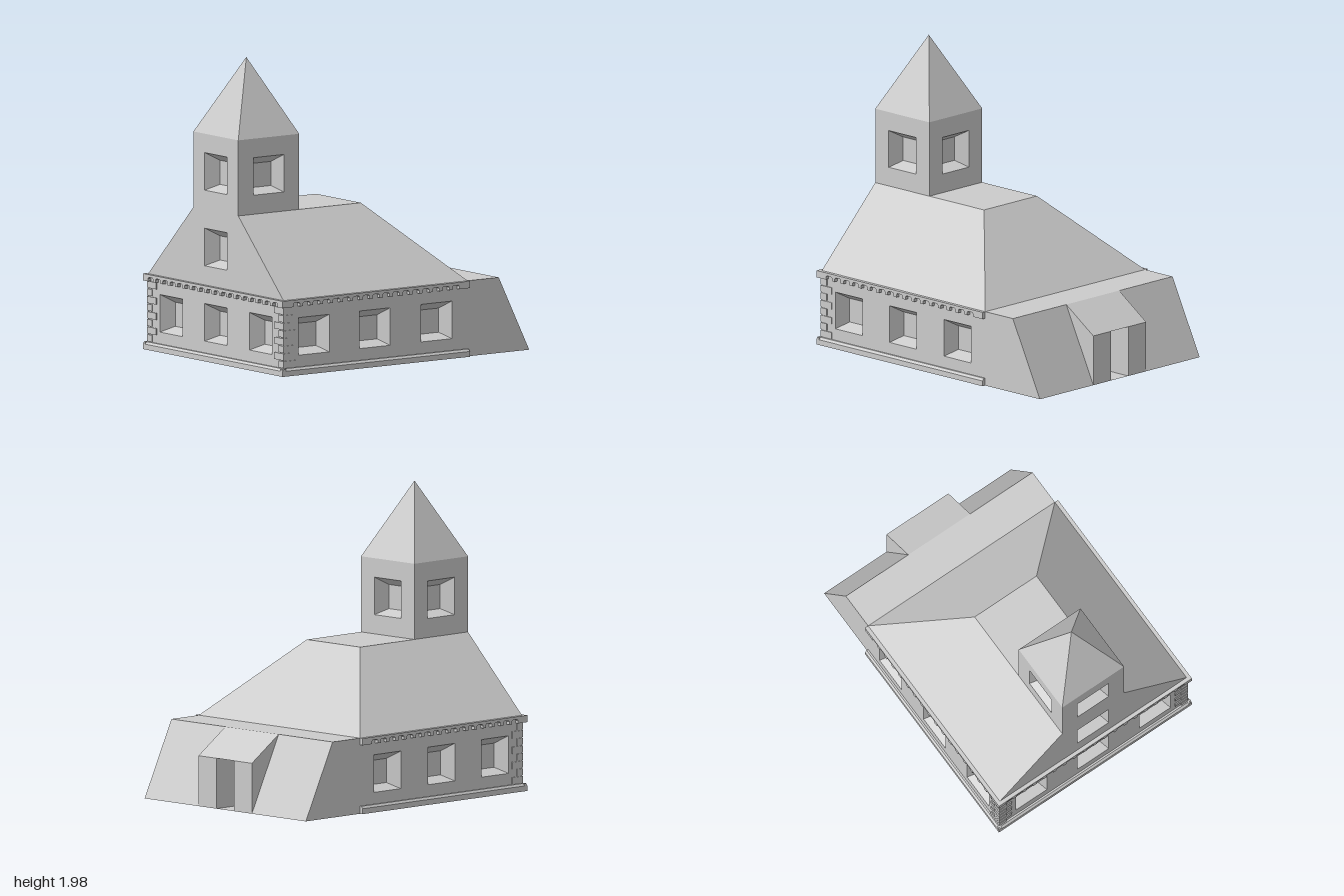
import * as THREE from 'three';
import { mergeGeometries } from 'three/addons/utils/BufferGeometryUtils.js';

const material = new THREE.MeshStandardMaterial({ color: 0xcccccc, flatShading: true, side: THREE.DoubleSide });

// Main dimensions
const HALF = 0.74, FRONT = 0.975, BACK = -1, EAVE = 0.495, RIDGE = 0.99;
const CORE = 0.245;              // half width of ridge, tower and porch
const ROOF_BACK = -0.505, SLOPE_TOP = -0.755, PORCH_EAVE = 0.33;
const TRIM = 0.025;              // how far plinth and cornice stand out

function mesh(name, geometry) {
  const m = new THREE.Mesh(geometry, material);
  m.name = name;
  return m;
}

// Flat faces, each given as counter-clockwise corners
function faces(...polygons) {
  const pos = [];
  for (const p of polygons)
    for (let i = 1; i < p.length - 1; i++) pos.push(...p[0], ...p[i], ...p[i + 1]);
  const g = new THREE.BufferGeometry();
  g.setAttribute('position', new THREE.Float32BufferAttribute(pos, 3));
  g.computeVertexNormals();
  return g;
}

// Splayed window recess, facing +z, centred on (u, v)
function recess(u, v) {
  const o = 0.123, d = -0.1;
  const a = [[-o, -o], [o, -o], [o, o], [-o, o]].map(([x, y]) => [u + x, v + y, 0]);
  const b = [[-0.09, -0.09], [0.09, -0.09], [0.09, 0.068], [-0.09, 0.068]].map(([x, y]) => [u + x, v + y, d]);
  const sides = a.map((p, i) => [p, a[(i + 1) % 4], b[(i + 1) % 4], b[i]]);
  return faces(b, ...sides);
}

// Wall facing +z with windows cut into it
function wall(name, outline, windows) {
  const shape = new THREE.Shape(outline.map(([x, y]) => new THREE.Vector2(x, y)));
  const o = 0.123;
  for (const [u, v] of windows) {
    shape.holes.push(new THREE.Path([[-o, -o], [-o, o], [o, o], [o, -o]]
      .map(([x, y]) => new THREE.Vector2(u + x, v + y))));
  }
  const flat = new THREE.ShapeGeometry(shape).toNonIndexed();
  flat.deleteAttribute('uv');
  return mesh(name, mergeGeometries([flat, ...windows.map(([u, v]) => recess(u, v))]));
}

// Stepped plinth running along x, facing +z
function plinth(length) {
  const profile = new THREE.Shape([[0, 0], [TRIM, 0], [TRIM, 0.035], [0.012, 0.05], [0, 0.05]]
    .map(([x, y]) => new THREE.Vector2(x, y)));
  const g = new THREE.ExtrudeGeometry(profile, { depth: length, bevelEnabled: false });
  return mesh('plinth', g.translate(0, 0, -length / 2).rotateY(-Math.PI / 2));
}

// Cornice with a row of small arches along its lower edge
function cornice(length) {
  const y0 = 0.45, y1 = 0.477, r = 0.008, w = 0.027, pitch = 0.08;
  const n = Math.floor((length - 0.08) / pitch);
  const s = new THREE.Shape();
  s.moveTo(-length / 2, y0);
  for (let i = 0; i < n; i++) {
    const c = (i - (n - 1) / 2) * pitch;
    s.lineTo(c - w, y0);
    s.lineTo(c - w, y1 - r);
    s.lineTo(c - w + r, y1);
    s.lineTo(c + w - r, y1);
    s.lineTo(c + w, y1 - r);
    s.lineTo(c + w, y0);
  }
  s.lineTo(length / 2, y0);
  s.lineTo(length / 2, EAVE);
  s.lineTo(-length / 2, EAVE);
  s.closePath();
  return mesh('cornice', new THREE.ExtrudeGeometry(s, { depth: TRIM, bevelEnabled: false }));
}

export function createModel() {
  const model = new THREE.Group();

  // Front gable wall
  const front = wall('frontWall',
    [[-HALF, 0], [HALF, 0], [HALF, EAVE], [CORE, RIDGE], [-CORE, RIDGE], [-HALF, EAVE]],
    [[-0.49, 0.25], [0, 0.25], [0.49, 0.25], [0, 0.743]]);
  front.position.z = FRONT;
  model.add(front);

  // Side walls, mirrored
  for (const s of [1, -1]) {
    const side = wall(s > 0 ? 'leftWall' : 'rightWall',
      [[FRONT, 0], [BACK, 0], [SLOPE_TOP, EAVE], [FRONT, EAVE]].map(([z, y]) => [-s * z, y]),
      [0.73, 0.24, -0.255].map(z => [-s * z, 0.25]));
    side.rotation.y = s * Math.PI / 2;
    side.position.x = s * HALF;
    model.add(side);
  }

  // Plinth and cornice on the front and both sides
  const sideLength = FRONT + TRIM - ROOF_BACK, sideZ = (FRONT + TRIM + ROOF_BACK) / 2;
  for (const [angle, x, z, length] of [
    [0, 0, FRONT, 2 * (HALF + TRIM)],
    [Math.PI / 2, HALF, sideZ, sideLength],
    [-Math.PI / 2, -HALF, sideZ, sideLength]]) {
    const trim = new THREE.Group();
    trim.name = 'wallTrim';
    trim.add(plinth(length), cornice(length));
    trim.rotation.y = angle;
    trim.position.set(x, 0, z);
    model.add(trim);
  }

  // Corner stones, alternately long and short
  for (const s of [1, -1]) {
    for (let i = 0; i < 8; i++) {
      const lx = i % 2 ? 0.1 : 0.055, lz = i % 2 ? 0.055 : 0.1;
      const stone = mesh('cornerStone', new THREE.BoxGeometry(lx, 0.044, lz));
      stone.position.set(s * (HALF + 0.006 - lx / 2), 0.075 + i * 0.05, FRONT + 0.006 - lz / 2);
      model.add(stone);
    }
  }

  // Hipped roof with a flat ridge, and the flat strip behind it
  const hip = -0.01;
  model.add(mesh('roof', faces(
    [[-CORE, RIDGE, FRONT], [CORE, RIDGE, FRONT], [CORE, RIDGE, hip], [-CORE, RIDGE, hip]],
    [[HALF, EAVE, FRONT], [HALF, EAVE, ROOF_BACK], [CORE, RIDGE, hip], [CORE, RIDGE, FRONT]],
    [[-HALF, EAVE, ROOF_BACK], [-HALF, EAVE, FRONT], [-CORE, RIDGE, FRONT], [-CORE, RIDGE, hip]],
    [[HALF, EAVE, ROOF_BACK], [-HALF, EAVE, ROOF_BACK], [-CORE, RIDGE, hip], [CORE, RIDGE, hip]])));
  model.add(mesh('backTerrace', faces(
    [[-HALF, EAVE, ROOF_BACK], [HALF, EAVE, ROOF_BACK], [HALF, EAVE, SLOPE_TOP], [-HALF, EAVE, SLOPE_TOP]])));

  // Sloping back wall either side of the porch
  model.add(mesh('backSlope', faces(
    ...[[CORE, HALF], [-HALF, -CORE]].map(([a, b]) =>
      [[b, 0, BACK], [a, 0, BACK], [a, EAVE, SLOPE_TOP], [b, EAVE, SLOPE_TOP]]))));

  // Porch: roof, cheeks, posts and doorway
  const door = 0.08, inner = BACK + 0.2, h = PORCH_EAVE;
  model.add(mesh('porch', faces(
    [[CORE, h, BACK], [-CORE, h, BACK], [-CORE, EAVE, SLOPE_TOP], [CORE, EAVE, SLOPE_TOP]],
    [[CORE, 0, BACK], [CORE, h, BACK], [CORE, EAVE, SLOPE_TOP]],
    [[-CORE, 0, BACK], [-CORE, EAVE, SLOPE_TOP], [-CORE, h, BACK]],
    ...[[door, CORE], [-CORE, -door]].map(([a, b]) =>
      [[b, 0, BACK], [a, 0, BACK], [a, h, BACK], [b, h, BACK]]))));
  model.add(mesh('doorway', faces(
    [[door, 0, inner], [-door, 0, inner], [-door, h, inner], [door, h, inner]],
    [[door, 0, BACK], [door, 0, inner], [door, h, inner], [door, h, BACK]],
    [[-door, 0, inner], [-door, 0, BACK], [-door, h, BACK], [-door, h, inner]],
    [[-door, h, BACK], [door, h, BACK], [door, h, inner], [-door, h, inner]])));

  // Underside
  model.add(mesh('floor', faces(
    [[-HALF, 0, BACK], [HALF, 0, BACK], [HALF, 0, FRONT], [-HALF, 0, FRONT]])));

  // Tower: four windowed walls under a pyramid spire
  const tower = new THREE.Group();
  tower.name = 'tower';
  tower.position.z = FRONT - CORE;
  for (let i = 0; i < 4; i++) {
    const side = wall('towerWall',
      [[-CORE, RIDGE], [CORE, RIDGE], [CORE, 1.485], [-CORE, 1.485]], [[0, 1.238]]);
    side.rotation.y = i * Math.PI / 2;
    side.position.set(Math.sin(side.rotation.y) * CORE, 0, Math.cos(side.rotation.y) * CORE);
    tower.add(side);
  }
  const spire = mesh('spire', new THREE.ConeGeometry(CORE * Math.SQRT2, 0.495, 4).rotateY(Math.PI / 4));
  spire.position.y = 1.485 + 0.2475;
  tower.add(spire);
  model.add(tower);

  return model;
}
